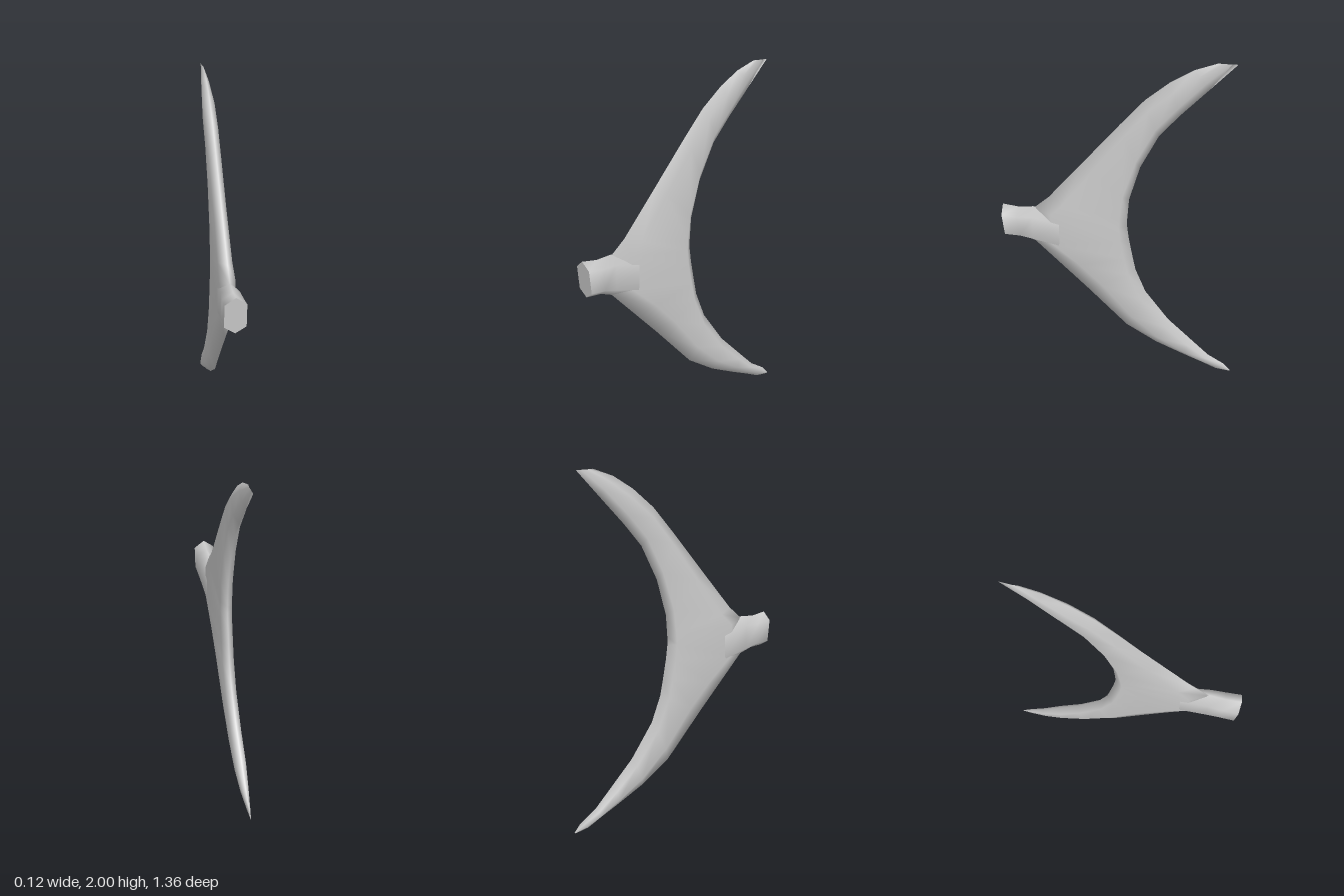
import * as THREE from 'three';

// Skins a list of equal-length rings, each counter-clockwise seen from the first ring's outer side.
function loft(rings, capStart) {
  const n = rings[0].length;
  const position = rings.flat(2);
  const index = [];
  for (let i = 0; i < rings.length - 1; i++) {
    for (let j = 0; j < n; j++) {
      const k = (j + 1) % n;
      const a = i * n + j, b = i * n + k, c = a + n, d = b + n;
      index.push(a, c, d, a, d, b);
    }
  }
  if (capStart) {
    // separate corners keep the rim of the cap sharp
    const base = rings.length * n;
    position.push(...rings[0].flat());
    for (let j = 1; j < n - 1; j++) index.push(base, base + j, base + j + 1);
  }
  const geometry = new THREE.BufferGeometry();
  geometry.setAttribute('position', new THREE.Float32BufferAttribute(position, 3));
  geometry.setIndex(index);
  geometry.computeVertexNormals();
  return geometry;
}

// Six-sided blade section: sharp leading and trailing edges, bevels, flat sides.
function bladeRing([lz, ly, tz, ty, wLead, wTrail, bevelLead, bevelTrail]) {
  const at = (x, t) => [x, ly + (ty - ly) * t, lz + (tz - lz) * t];
  return [
    at(0, 0), at(wLead, bevelLead), at(wTrail, 1 - bevelTrail),
    at(0, 1), at(-wTrail, 1 - bevelTrail), at(-wLead, bevelLead),
  ];
}

// Six-sided upright stalk section, slanted between its top and bottom z.
function stalkRing([zTop, zBottom, yTop, yBottom, w]) {
  const at = (x, t) => [x, yTop + (yBottom - yTop) * t, zTop + (zBottom - zTop) * t];
  return [at(0, 0), at(-w, 0.2), at(-w, 0.82), at(0, 1), at(w, 0.82), at(w, 0.2)];
}

export function createModel() {
  const group = new THREE.Group();
  group.name = 'tailFin';
  const material = new THREE.MeshStandardMaterial({ color: 0xcccccc });

  const add = (name, geometry) => {
    const mesh = new THREE.Mesh(geometry, material);
    mesh.name = name;
    group.add(mesh);
  };

  // Crescent blade, from upper tip to lower tip:
  // leading z, y, trailing z, y, half widths, bevel fractions
  const blade = [
    [-0.50, 2.00, -0.60, 2.00, 0.003, 0.001, 0.3, 0.3],
    [-0.38, 1.955, -0.47, 1.86, 0.022, 0.018, 0.3, 0.3],
    [-0.26, 1.88, -0.32, 1.70, 0.034, 0.030, 0.28, 0.25],
    [-0.13, 1.77, -0.21, 1.57, 0.035, 0.032, 0.25, 0.22],
    [0.00, 1.62, -0.11, 1.37, 0.035, 0.033, 0.22, 0.18],
    [0.20, 1.38, -0.05, 1.16, 0.036, 0.034, 0.20, 0.13],
    [0.41, 1.13, -0.04, 1.03, 0.040, 0.034, 0.20, 0.09],
    [0.50, 1.05, -0.04, 0.98, 0.045, 0.034, 0.20, 0.08],
    [0.50, 0.83, -0.05, 0.90, 0.045, 0.034, 0.20, 0.08],
    [0.35, 0.68, -0.07, 0.79, 0.042, 0.034, 0.28, 0.10],
    [0.20, 0.53, -0.09, 0.69, 0.040, 0.034, 0.33, 0.13],
    [-0.04, 0.28, -0.15, 0.54, 0.036, 0.033, 0.33, 0.18],
    [-0.22, 0.17, -0.29, 0.35, 0.035, 0.032, 0.30, 0.22],
    [-0.39, 0.095, -0.42, 0.225, 0.034, 0.030, 0.30, 0.28],
    [-0.50, 0.05, -0.54, 0.11, 0.024, 0.020, 0.30, 0.30],
    [-0.59, 0.01, -0.64, 0.05, 0.010, 0.008, 0.30, 0.30],
    [-0.67, 0.00, -0.68, 0.005, 0.001, 0.001, 0.30, 0.30],
  ];
  add('blade', loft(blade.map(bladeRing), false));

  // Stalk at the front, fading into the blade: top z, bottom z, top y, bottom y, half width
  const stalk = [
    [0.68, 0.66, 1.06, 0.855, 0.058],
    [0.59, 0.57, 1.05, 0.853, 0.056],
    [0.50, 0.50, 1.06, 0.83, 0.051],
    [0.33, 0.33, 1.02, 0.79, 0.043],
    [0.08, 0.08, 0.98, 0.74, 0.030],
  ];
  add('stalk', loft(stalk.map(stalkRing), true));

  return group;
}
